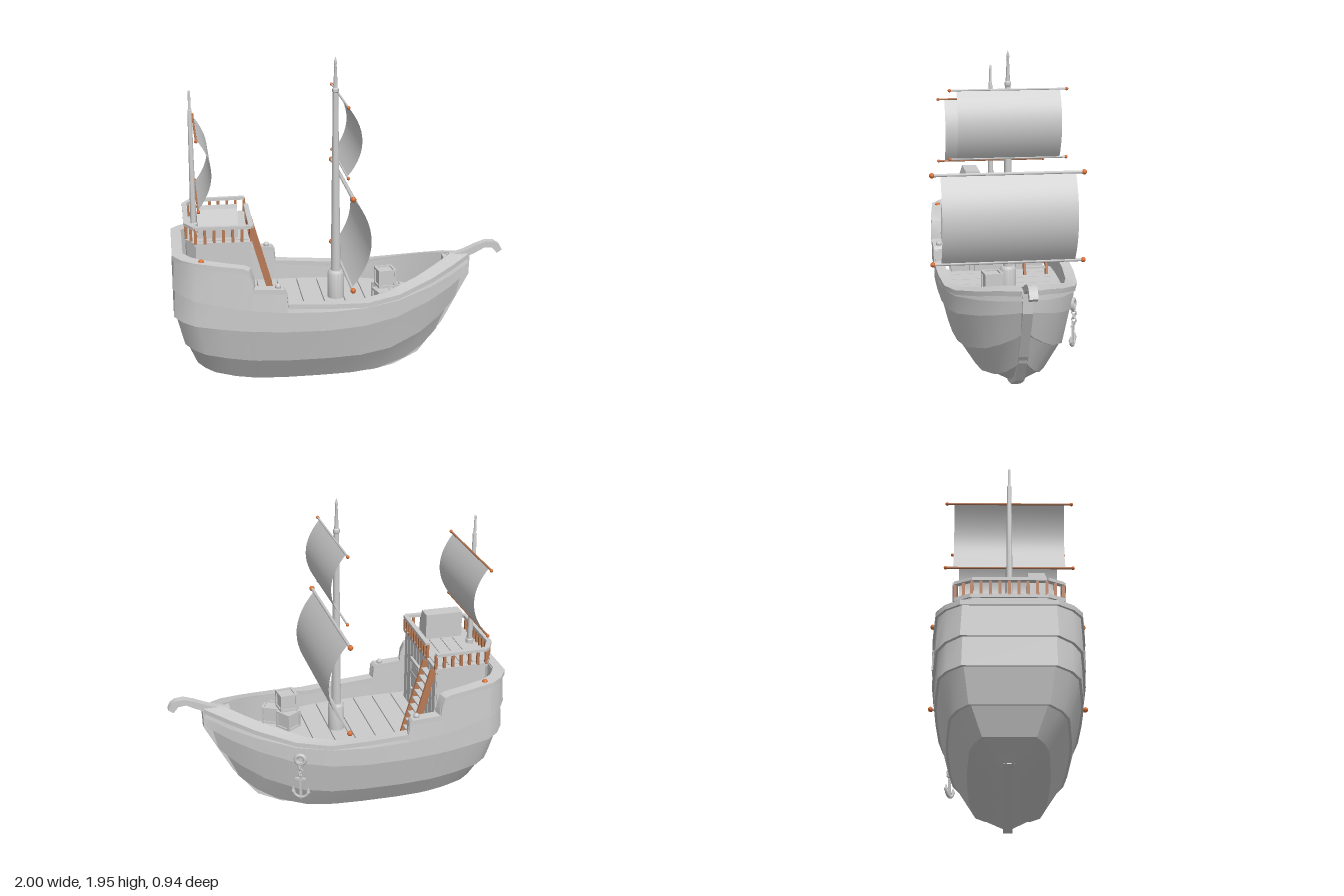
import * as THREE from 'three';
import { toCreasedNormals } from 'three/addons/utils/BufferGeometryUtils.js';

const grey = new THREE.MeshStandardMaterial({ color: 0xcccccc });
const cloth = new THREE.MeshStandardMaterial({ color: 0xcccccc, side: THREE.DoubleSide });
const wood = new THREE.MeshStandardMaterial({ color: 0xb87a55 });
const copper = new THREE.MeshStandardMaterial({ color: 0xd96f35 });
const V = (x, y, z) => new THREE.Vector3(x, y, z);

function add(parent, name, geo, mat = grey, x = 0, y = 0, z = 0) {
  const m = new THREE.Mesh(geo, mat);
  m.name = name;
  m.position.set(x, y, z);
  parent.add(m);
  return m;
}
function group(parent, name) {
  const g = new THREE.Group();
  g.name = name;
  parent.add(g);
  return g;
}
const box = (p, name, w, h, d, x, y, z, mat) => add(p, name, new THREE.BoxGeometry(w, h, d), mat, x, y, z);
const ball = (p, name, r, x, y, z, mat = copper) => add(p, name, new THREE.SphereGeometry(r, 12, 8), mat, x, y, z);

// Square bar between two points
function beam(p, name, a, b, w, h, mat) {
  const m = add(p, name, new THREE.BoxGeometry(w, h, a.distanceTo(b)), mat);
  m.position.copy(a).add(b).multiplyScalar(0.5);
  m.lookAt(b);
}

// Skin over closed rings, listed from the outside bottom upwards
function loft(rings) {
  const n = rings[0].length, idx = [];
  for (let i = 0; i < rings.length - 1; i++)
    for (let j = 0; j < n; j++) {
      const k = (j + 1) % n, a = i * n + j, b = i * n + k, c = b + n, d = a + n;
      idx.push(a, b, c, a, c, d);
    }
  const g = new THREE.BufferGeometry().setFromPoints(rings.flat());
  g.setIndex(idx);
  return toCreasedNormals(g, 0.5);
}

// Plan outline: fraction along the length, relative half width, rail height
const plan = [[0, .6, .87], [.03, .8, .865], [.07, .92, .86], [.15, .96, .84], [.22, .99, .825], [.238, .99, .81],
  [.249, 1, .76], [.252, 1, .7], [.35, 1, .69], [.358, 1, .675], [.362, 1, .6], [.5, .985, .585], [.62, .94, .575],
  [.73, .83, .6], [.85, .56, .65], [.93, .32, .69], [.98, .12, .71], [1, .05, .72]];

function ring(xs, xb, w, yOf, out = 0) {
  const side = plan.map(([s, f, rail]) =>
    V(xs - out + (xb - xs + 2 * out) * s, yOf(s, rail), f * w + out));
  return [...side, ...side.map(p => V(p.x, p.y, -p.z)).reverse()];
}
// Height of a strake edge: stern, middle, bow and how late it curves up
const sheer = (stern, mid, bow, power = 2) => s =>
  mid + ((s < .5 ? stern : bow) - mid) * Math.abs(1 - 2 * s) ** power;
const rail = dy => (s, y) => y + dy;

// Half width of the outline at x, for a given length and breadth
function halfWidth(x, xs, xb, w) {
  const s = THREE.MathUtils.clamp((x - xs) / (xb - xs), 0, 1);
  const i = Math.max(1, plan.findIndex(p => p[0] >= s)), a = plan[i - 1], b = plan[i];
  return w * THREE.MathUtils.mapLinear(s, a[0], b[0], a[1], b[1]);
}

function extrude(points, depth) {
  const s = new THREE.Shape(points.map(([x, y]) => new THREE.Vector2(x, y)));
  return new THREE.ExtrudeGeometry(s, { depth, bevelEnabled: false });
}
// Horizontal slab from [x, z] points
const slab = (pts, y0, y1) => extrude(pts.map(([x, z]) => [x, -z]), y1 - y0).rotateX(-Math.PI / 2).translate(0, y0, 0);

function buildHull(ship) {
  const hull = group(ship, 'hull');
  // Overlapping strakes: each one stands proud at its lower edge
  const levels = [[-.74, .45, .02, sheer(.07, .006, .1, 4)], [-.86, .585, .21, sheer(.16, .07, .25, 4)],
    [-.93, .695, .325, sheer(.31, .225, .45, 3)], [-.99, .755, .39, sheer(.5, .425, .6)],
    [-.99, .77, .405, sheer(.67, .545, .67)], [-.99, .775, .41, rail(0)]];
  const rings = [];
  levels.forEach((l, i) => {
    rings.push(ring(...l));
    if (i > 0 && i < 5) rings.push(ring(...l, .013));
  });
  rings.push(ring(-.94, .66, .365, rail(0)), ring(-.94, .64, .36, () => .46));
  add(hull, 'planking', loft(rings));
  add(hull, 'capRail', loft([ring(-.945, .67, .36, rail(-.02)), ring(-.99, .775, .41, rail(-.02), .012),
    ring(-.99, .775, .41, rail(.008), .012), ring(-.945, .67, .36, rail(.008)), ring(-.945, .67, .36, rail(-.02))]));
  // Keel and stem
  add(hull, 'keelAndStem', extrude([[.795, .72], [.79, .6], [.63, .3], [.48, .105], [.33, .03], [.2, 0], [-.45, .002],
    [-.74, .064], [-.7, .09], [-.4, .05], [.2, .05], [.42, .13], [.57, .32], [.74, .62], [.74, .73]], .056).translate(0, 0, -.028));
  // Deck boards laid across the ship
  const step = .125;
  for (let x = -.6; x < .63; x += step) {
    const e = Math.min(x + step - .006, .635);
    const a = halfWidth(x, -.94, .64, .36), b = halfWidth(e, -.94, .64, .36);
    add(hull, 'deckBoard', slab([[x, a], [e, b], [e, -b], [x, -a]], .45, .485));
  }
  box(hull, 'deckBase', 1.0, .02, .5, -.35, .455, 0);
  // Curled prow
  const prow = [[.66, .67], [.76, .7], [.83, .73], [.89, .762], [.935, .757], [.965, .722], [.995, .742],
    [.98, .775], [.95, .795], [.9, .8], [.84, .78], [.76, .745], [.66, .715]];
  add(hull, 'prow', toCreasedNormals(extrude(prow, .048), .7).translate(0, 0, -.024));
  box(hull, 'prowBlock', .06, .05, .06, .66, .69, 0);
  for (const s of [1, -1]) {
    ball(hull, 'railKnob', .018, -.41, .708, s * .385, grey);
    ball(hull, 'sternLamp', .018, -.84, .862, s * .355);
  }
}

function buildCabin(ship) {
  const cabin = group(ship, 'cabin');
  const outline = [[-.56, .3], [-.865, .285], [-.915, .2], [-.915, -.2], [-.865, -.285], [-.56, -.3]];
  add(cabin, 'walls', slab(outline, .46, .94));
  add(cabin, 'quarterdeck', slab(outline.map(([x, z]) => [x + (x > -.6 ? .015 : -.008), z * 1.04]), .935, .957));
  for (let x = -.86; x < -.6; x += .075) box(cabin, 'quarterdeckBoard', .07, .008, .54, x + .035, .959, 0);
  // Front wall boards and door
  for (let z = -.27; z < .28; z += .06) box(cabin, 'wallBoard', .012, .45, .052, -.557, .71, z);
  const doorZ = .06;
  box(cabin, 'door', .02, .32, .13, -.55, .645, doorZ);
  for (const s of [1, -1]) box(cabin, 'doorPost', .03, .34, .02, -.55, .655, doorZ + s * .075);
  for (const y of [.56, .74]) box(cabin, 'doorStrap', .026, .02, .13, -.55, y, doorZ);
  box(cabin, 'doorLintel', .03, .022, .17, -.55, .825, doorZ);
  ball(cabin, 'doorKnob', .01, -.536, .64, doorZ + .04, grey);
  // Railing, open at the ladder
  const path = [[-.55, -.14], [-.55, .3], [-.865, .29], [-.915, .2], [-.915, -.2], [-.865, -.29], [-.55, -.3]];
  for (let i = 0; i < path.length - 1; i++) {
    const a = V(path[i][0], .95, path[i][1]), b = V(path[i + 1][0], .95, path[i + 1][1]);
    const up = V(0, .093, 0), n = Math.round(a.distanceTo(b) / .05);
    beam(cabin, 'handrail', a.clone().add(up), b.clone().add(up), .028, .018);
    for (let k = i ? 1 : 0; k <= n; k++) {
      const p = a.clone().lerp(b, k / n);
      box(cabin, 'baluster', .016, .09, .016, p.x, .995, p.z, wood);
    }
  }
  // Chart desk with a sloping face
  const desk = extrude([[.1, .955], [.1, 1.122], [.19, 1.122], [.23, 1.01], [.23, .955]], .23).rotateY(-Math.PI / 2);
  add(cabin, 'chartDesk', desk, grey, -.62);
  // Ladder
  const ladder = group(ship, 'ladder');
  const top = V(-.535, .95, 0), foot = V(-.405, .485, 0);
  for (const z of [-.3, -.16])
    beam(ladder, 'stringer', V(top.x, top.y, z), V(foot.x, foot.y, z), .016, .04, wood);
  for (let i = 1; i < 10; i++) {
    const p = top.clone().lerp(foot, i / 10);
    box(ladder, 'tread', .035, .01, .14, p.x, p.y, -.23);
  }
}

// Square sail between two yards, filled by the wind
function buildSail(ship, name, x, y0, y1, half, reach, belly, r, mat) {
  const g = group(ship, name);
  const geo = new THREE.PlaneGeometry(half * 2, y1 - y0, 1, 14).rotateY(Math.PI / 2);
  const p = geo.attributes.position;
  for (let i = 0; i < p.count; i++) {
    const t = p.getY(i) / (y1 - y0);
    p.setX(i, belly * (1 - 4 * t * t));
  }
  geo.computeVertexNormals();
  add(g, 'canvas', geo, cloth, x, (y0 + y1) / 2, 0);
  for (const y of [y0, y1]) {
    add(g, 'yard', new THREE.CylinderGeometry(r * .6, r * .6, reach * 2, 8).rotateX(Math.PI / 2), mat, x, y, 0);
    for (const s of [1, -1]) ball(g, 'yardEnd', r, x, y, s * reach);
  }
}

function mast(ship, name, x, profile) {
  const pts = profile.map(([r, y]) => new THREE.Vector2(r, y));
  add(ship, name, toCreasedNormals(new THREE.LatheGeometry(pts, 12), .6), grey, x, 0, 0);
}

function buildCrates(ship) {
  const crates = group(ship, 'crates');
  for (const [x, y, z, turn] of [[.235, .537, .2, .25], [.335, .537, .19, -.5], [.255, .537, .085, .6], [.255, .643, .13, .12]]) {
    const c = group(crates, 'crate'), h = .047;
    c.position.set(x, y, z);
    c.rotation.y = turn;
    box(c, 'crateBody', .092, .092, .092, 0, 0, 0);
    for (const a of [-h, h]) for (const b of [-h, h]) {
      box(c, 'crateEdge', .104, .014, .014, 0, a, b);
      box(c, 'crateEdge', .014, .104, .014, a, 0, b);
      box(c, 'crateEdge', .014, .014, .104, a, b, 0);
    }
  }
}

function buildAnchor(ship) {
  const a = group(ship, 'anchor');
  a.position.set(.28, .49, -.345);
  a.rotation.y = -.45;
  add(a, 'hawseRing', new THREE.TorusGeometry(.028, .013, 8, 16));
  for (let i = 0; i < 4; i++)
    add(a, 'chainLink', new THREE.TorusGeometry(.014, .005, 6, 10), grey, 0, -.03 - i * .022, -.006).rotation.y = i % 2 * 1.4;
  box(a, 'shank', .014, .15, .014, 0, -.185, 0);
  box(a, 'stock', .065, .012, .012, 0, -.13, 0);
  add(a, 'arms', new THREE.TorusGeometry(.045, .009, 6, 14, Math.PI).rotateZ(Math.PI), grey, 0, -.208, 0);
  for (const s of [1, -1])
    add(a, 'fluke', new THREE.ConeGeometry(.014, .035, 4), grey, s * .045, -.2, 0);
}

export function createModel() {
  const ship = new THREE.Group();
  ship.name = 'sailingShip';
  buildHull(ship);
  buildCabin(ship);
  mast(ship, 'mainMast', -.025, [[.05, .48], [.05, .64], [.04, .655], [.03, .655], [.016, 1.74], [.02, 1.745],
    [.02, 1.762], [.013, 1.77], [.007, 1.9], [.01, 1.915], [0, 1.95]]);
  mast(ship, 'mizzenMast', -.867, [[.024, .95], [.024, .985], [.018, .99], [.012, 1.66], [.008, 1.67], [.007, 1.77], [0, 1.78]]);
  buildSail(ship, 'mainSail', .012, .685, 1.225, .405, .455, .113, .016, grey);
  buildSail(ship, 'topSail', 0, 1.317, 1.722, .305, .345, .085, .01, grey);
  buildSail(ship, 'mizzenSail', -.845, 1.155, 1.56, .305, .345, .08, .01, wood);
  buildCrates(ship);
  buildAnchor(ship);
  return ship;
}
